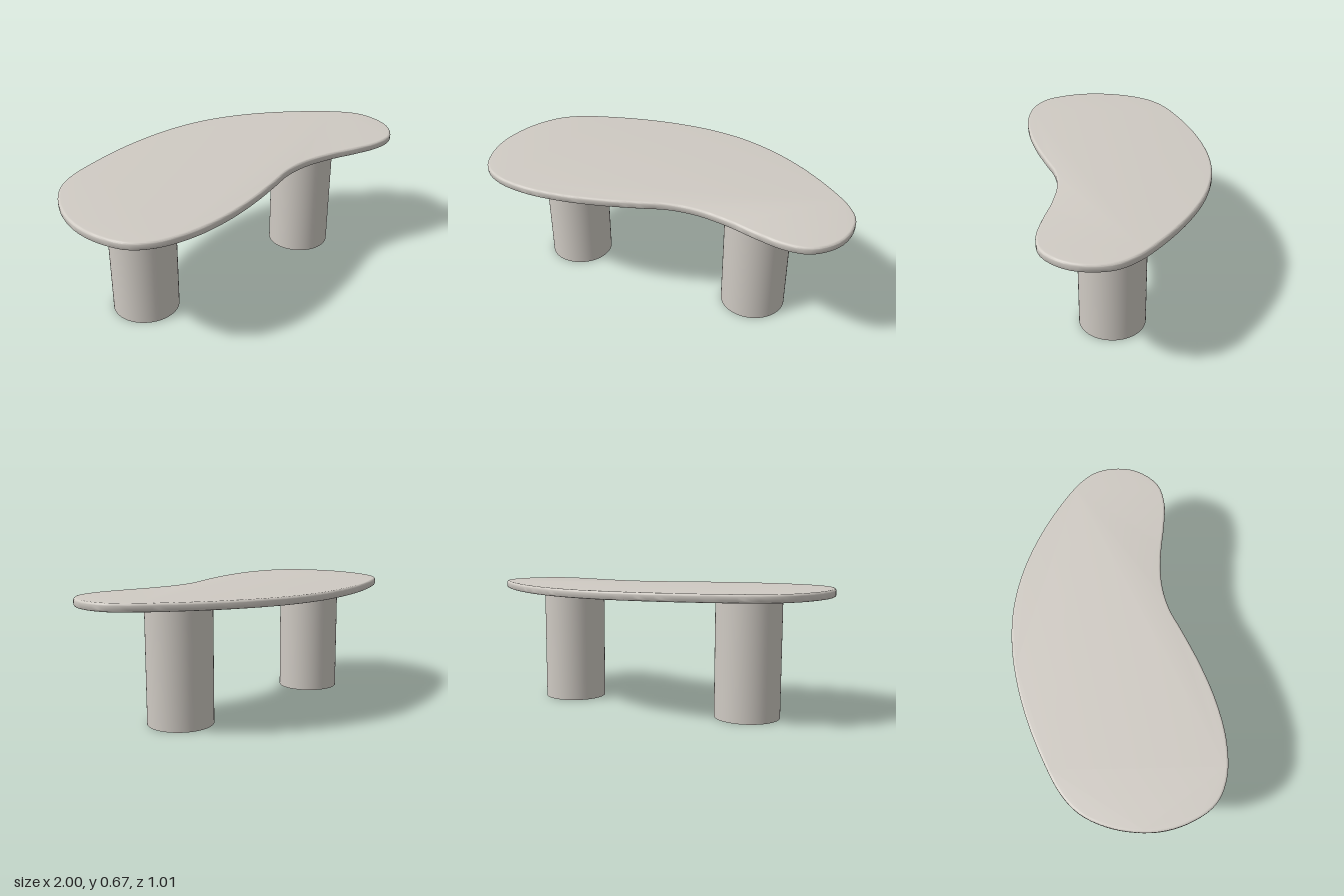
import * as THREE from 'three';
import { toCreasedNormals } from 'three/addons/utils/BufferGeometryUtils.js';

const TOP = 0.67, UNDERSIDE = 0.628, BEVEL = 0.012;

// Kidney outline of the table top as [x, z] points
const OUTLINE = [
  [0, -0.51], [0.2, -0.49], [0.4, -0.43], [0.6, -0.33], [0.8, -0.19],
  [0.93, -0.07], [0.985, 0.02], [0.998, 0.12], [0.98, 0.22], [0.93, 0.3],
  [0.86, 0.355], [0.75, 0.373], [0.6, 0.35], [0.45, 0.315], [0.27, 0.295],
  [0.12, 0.315], [0, 0.36], [-0.2, 0.43], [-0.4, 0.48], [-0.6, 0.5],
  [-0.78, 0.475], [-0.9, 0.405], [-0.97, 0.28], [-1, 0.13], [-0.985, -0.02],
  [-0.94, -0.15], [-0.87, -0.255], [-0.77, -0.33], [-0.6, -0.4],
  [-0.4, -0.46], [-0.2, -0.497],
];

export function createModel() {
  const table = new THREE.Group();
  table.name = 'table';
  const stone = new THREE.MeshStandardMaterial({ color: 0xcfcac3 });
  stone.name = 'warm grey';

  // Table top: smooth closed curve, extruded with a softly rounded rim
  const curve = new THREE.CatmullRomCurve3(
    OUTLINE.map(([x, z]) => new THREE.Vector3(x, z, 0)), true);
  const shape = new THREE.Shape(
    curve.getSpacedPoints(140).slice(0, -1).map(p => new THREE.Vector2(p.x, p.y)));
  const slab = new THREE.ExtrudeGeometry(shape, {
    depth: TOP - UNDERSIDE - 2 * BEVEL,
    bevelThickness: BEVEL, bevelSize: BEVEL, bevelOffset: -BEVEL, bevelSegments: 4,
  });
  slab.rotateX(Math.PI / 2);
  slab.translate(0, TOP - BEVEL, 0);
  const top = new THREE.Mesh(toCreasedNormals(slab, 0.6), stone);
  top.name = 'tableTop';
  table.add(top);

  // Two thick cylindrical legs
  const legGeometry = new THREE.CylinderGeometry(0.172, 0.172, UNDERSIDE + 0.002, 64);
  for (const [name, x] of [['rightLeg', -0.595], ['leftLeg', 0.5]]) {
    const leg = new THREE.Mesh(legGeometry, stone);
    leg.name = name;
    leg.position.set(x, (UNDERSIDE + 0.002) / 2, 0.027);
    table.add(leg);
  }
  return table;
}
